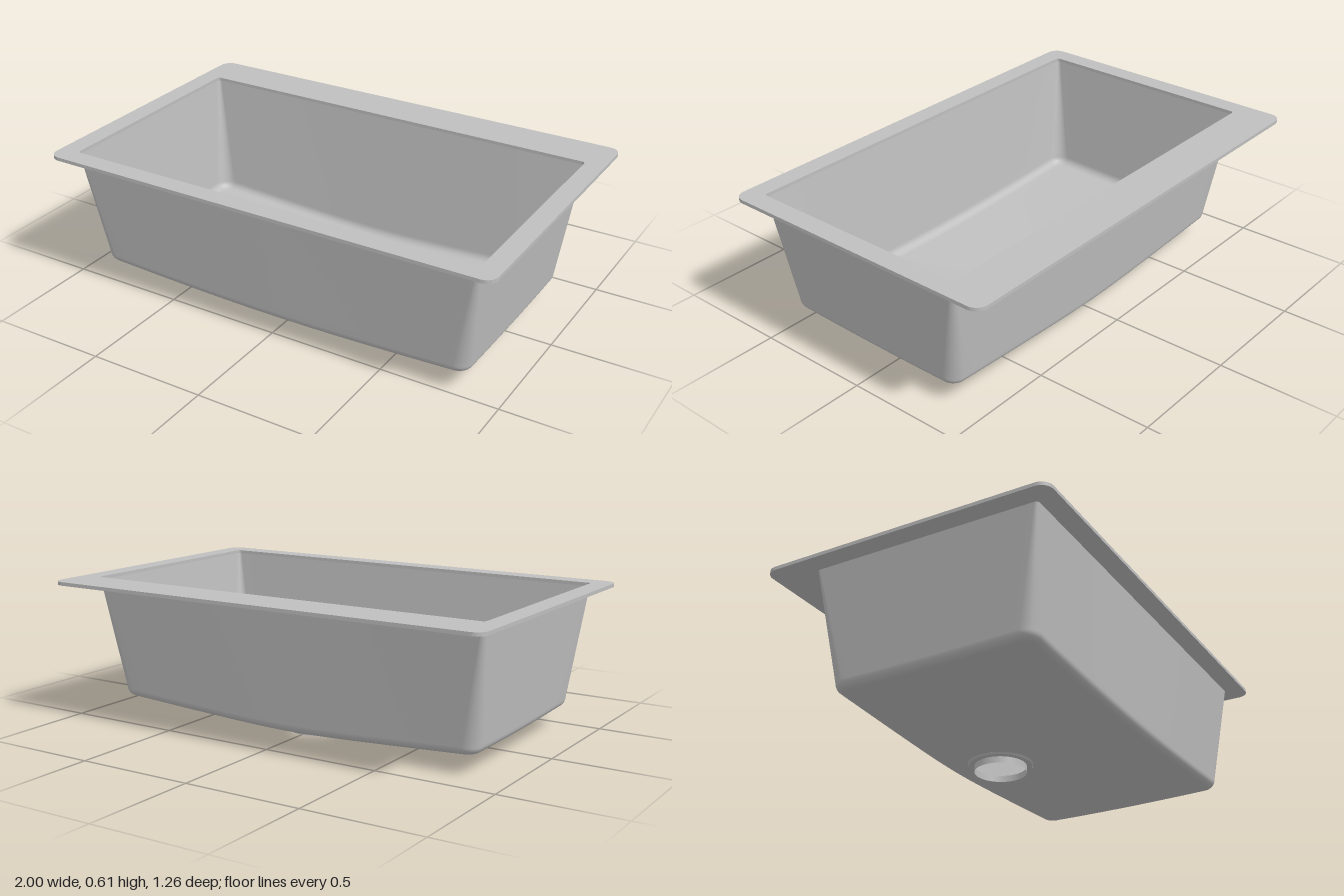
import * as THREE from 'three';

const DRAIN = { x: 0, z: -0.14, r: 0.138, y: 0.036 };

// Floor falls gently towards the drain
const floorY = (x, z) => DRAIN.y + 0.058 * (Math.hypot(x - DRAIN.x, z - DRAIN.z) - DRAIN.r);

// Closed rounded-rectangle outline as [x, z] points, always the same count
function outline(hx, z0, z1, r, arc = 8, edge = 24) {
  const pts = [];
  const corners = [[hx - r, z1 - r], [-hx + r, z1 - r], [-hx + r, z0 + r], [hx - r, z0 + r]];
  corners.forEach(([cx, cz], k) => {
    for (let i = 0; i <= arc; i++) {
      const a = (k + i / arc) * Math.PI / 2;
      pts.push([cx + r * Math.cos(a), cz + r * Math.sin(a)]);
    }
    // points along the straight side to the next corner
    const [sx, sz] = pts[pts.length - 1];
    const [nx, nz] = corners[(k + 1) % 4];
    const a = (k + 1) * Math.PI / 2;
    const ex = nx + r * Math.cos(a), ez = nz + r * Math.sin(a);
    for (let i = 1; i < edge; i++) {
      const t = i / edge;
      pts.push([sx + (ex - sx) * t, sz + (ez - sz) * t]);
    }
  });
  return pts;
}

// Smooth skin through equal-length closed rings
function skin(rings) {
  const n = rings[0].length, index = [];
  for (let j = 0; j < rings.length - 1; j++) {
    for (let i = 0; i < n; i++) {
      const a = j * n + i, b = j * n + (i + 1) % n;
      index.push(a, b, a + n, b, b + n, a + n);
    }
  }
  const g = new THREE.BufferGeometry();
  g.setAttribute('position', new THREE.Float32BufferAttribute(rings.flat(2), 3));
  g.setIndex(index);
  g.computeVertexNormals();
  return g;
}

function bowlGeometry() {
  const rings = [];
  const top = outline(0.915, -0.442, 0.547, 0.015).map(([x, z]) => [x, 0.591, z]);
  const R = 0.035;
  // rounded foot between wall and floor
  const foot = [];
  for (let i = 0; i <= 7; i++) {
    const a = (i / 7) * Math.PI / 2;
    const inset = R * (1 - Math.cos(a));
    foot.push(outline(0.863 - inset, -0.383 + inset, 0.498 - inset, 0.06 - inset)
      .map(([x, z]) => [x, floorY(x, z) + R * (1 - Math.sin(a)), z]));
  }
  // tapered walls
  for (const t of [0, 0.5, 0.95]) {
    rings.push(top.map((p, i) => p.map((v, k) => v + (foot[0][i][k] - v) * t)));
  }
  rings.push(...foot);
  // floor running to the round drain opening
  const last = foot[foot.length - 1];
  for (const t of [0.06, 0.35, 0.7, 0.95, 1]) {
    rings.push(last.map(([x, , z]) => {
      const dx = x - DRAIN.x, dz = z - DRAIN.z, d = Math.hypot(dx, dz);
      const s = (d + (DRAIN.r - d) * t) / d;
      const px = DRAIN.x + dx * s, pz = DRAIN.z + dz * s;
      return [px, floorY(px, pz), pz];
    }));
  }
  return skin(rings);
}

function rimGeometry() {
  const toVec = ([x, z]) => new THREE.Vector2(x, -z);
  const shape = new THREE.Shape(outline(1, -0.633, 0.63, 0.05, 8, 1).map(toVec));
  shape.holes.push(new THREE.Path(outline(0.915, -0.442, 0.547, 0.015, 8, 1).map(toVec)));
  const g = new THREE.ExtrudeGeometry(shape, { depth: 0.015, bevelEnabled: false });
  return g.rotateX(-Math.PI / 2).translate(0, 0.59, 0);
}

export function createModel() {
  const steel = new THREE.MeshStandardMaterial({ color: 0xbfbfbf, side: THREE.DoubleSide });
  steel.name = 'steel grey';
  const group = new THREE.Group();
  group.name = 'sink';
  const add = (name, geometry) => {
    const mesh = new THREE.Mesh(geometry, steel);
    mesh.name = name;
    group.add(mesh);
    return mesh;
  };

  add('rim', rimGeometry());
  add('bowl', bowlGeometry());

  // Drain: step, seat ring and open tailpiece, each with a crisp edge
  const drainParts = {
    drainStep: [[0.138, 0.036], [0.132, 0.028]],
    drainSeat: [[0.132, 0.028], [0.11, 0.028]],
    drainPipe: [[0.11, 0.028], [0.11, 0]],
  };
  for (const [name, pts] of Object.entries(drainParts)) {
    const profile = pts.map(([r, y]) => new THREE.Vector2(r, y));
    add(name, new THREE.LatheGeometry(profile, 64)).position.set(DRAIN.x, 0, DRAIN.z);
  }
  return group;
}
